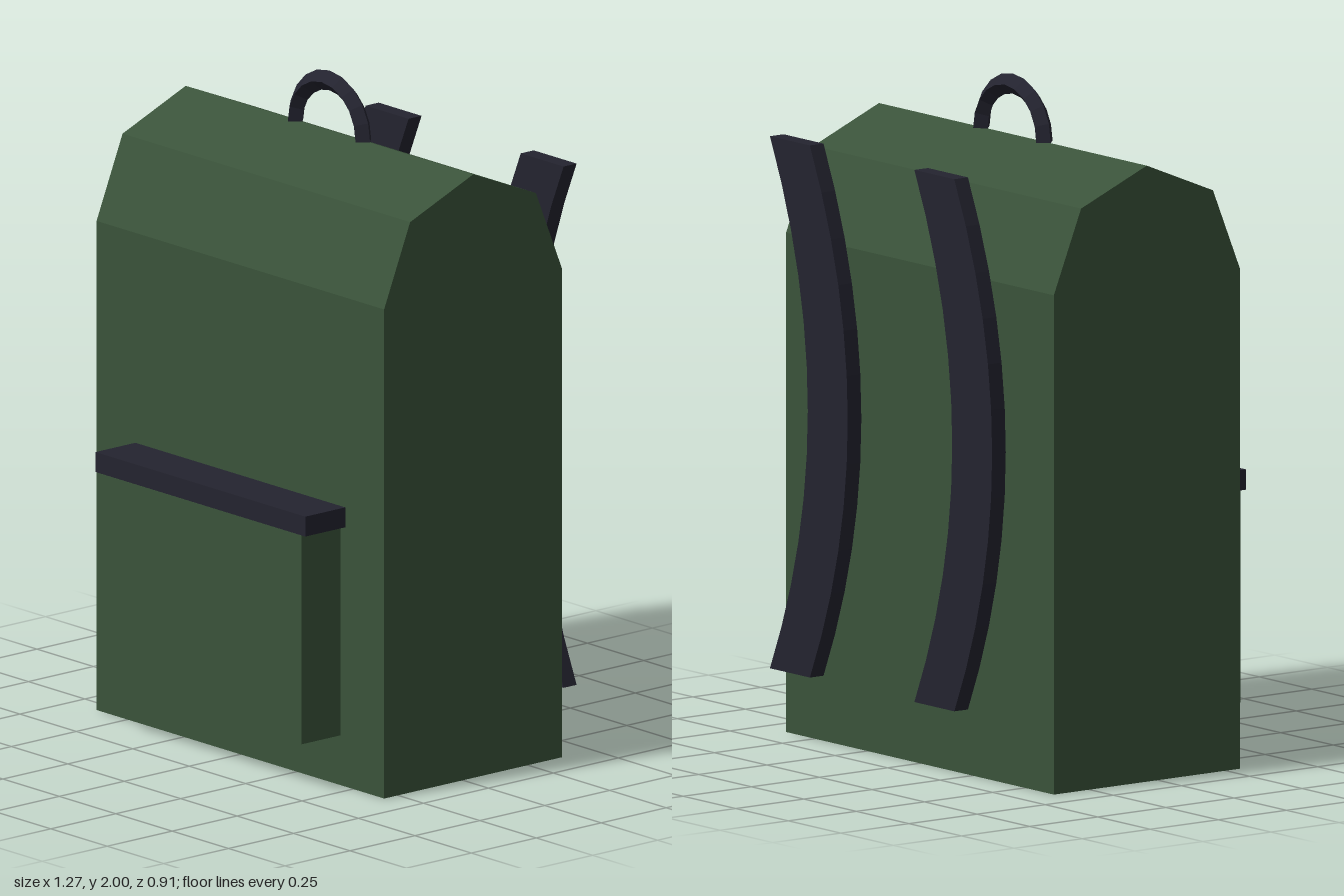
import * as THREE from 'three';

export function createModel() {
  const model = new THREE.Group();
  const canvas = new THREE.MeshStandardMaterial({ color: 0x3a533a });
  canvas.name = 'greenCanvas';
  const webbing = new THREE.MeshStandardMaterial({ color: 0x23232f });
  webbing.name = 'darkWebbing';

  const add = (name, geometry, material, x = 0, y = 0, z = 0) => {
    const mesh = new THREE.Mesh(geometry, material);
    mesh.name = name;
    mesh.position.set(x, y, z);
    model.add(mesh);
    return mesh;
  };
  const extrude = (shape, depth, curveSegments = 12) =>
    new THREE.ExtrudeGeometry(shape, { depth, curveSegments, bevelEnabled: false });

  // Main bag: side profile (-z, y) with a gabled top, extruded across the width
  const width = 1.274;
  const profile = new THREE.Shape([
    [-0.303, 0], [0.381, 0], [0.381, 1.475], [0.281, 1.72],
    [0.04, 1.82], [-0.203, 1.72], [-0.303, 1.475],
  ].map(([u, y]) => new THREE.Vector2(u, y)));
  const body = extrude(profile, width);
  body.translate(0, 0, -width / 2).rotateY(Math.PI / 2);
  add('body', body, canvas);

  // Front pocket and its flap
  add('frontPocket', new THREE.BoxGeometry(0.886, 0.63, 0.17), canvas, 0, 0.465, 0.368);
  add('pocketFlap', new THREE.BoxGeometry(0.93, 0.06, 0.17), webbing, 0, 0.812, 0.372);

  // Grab handle: half ring with a diamond section
  const handle = new THREE.TorusGeometry(0.15, 0.03, 4, 10, Math.PI).toNonIndexed();
  handle.computeVertexNormals();
  add('handle', handle, webbing, 0, 1.82, -0.04);

  // Shoulder straps: flat bands bowed sideways, both the same way
  const band = 0.19, bow = 0.36, y0 = 0.2, y1 = 1.772, mid = (y0 + y1) / 2;
  const strap = new THREE.Shape();
  strap.moveTo(0, y0);
  strap.lineTo(band, y0);
  strap.quadraticCurveTo(band - bow, mid, band, y1);
  strap.lineTo(0, y1);
  strap.quadraticCurveTo(-bow, mid, 0, y0);
  const strapGeometry = extrude(strap, 0.05);
  add('leftStrap', strapGeometry, webbing, 0.425, 0, -0.457);
  add('rightStrap', strapGeometry, webbing, -0.262, 0, -0.457);

  return model;
}
